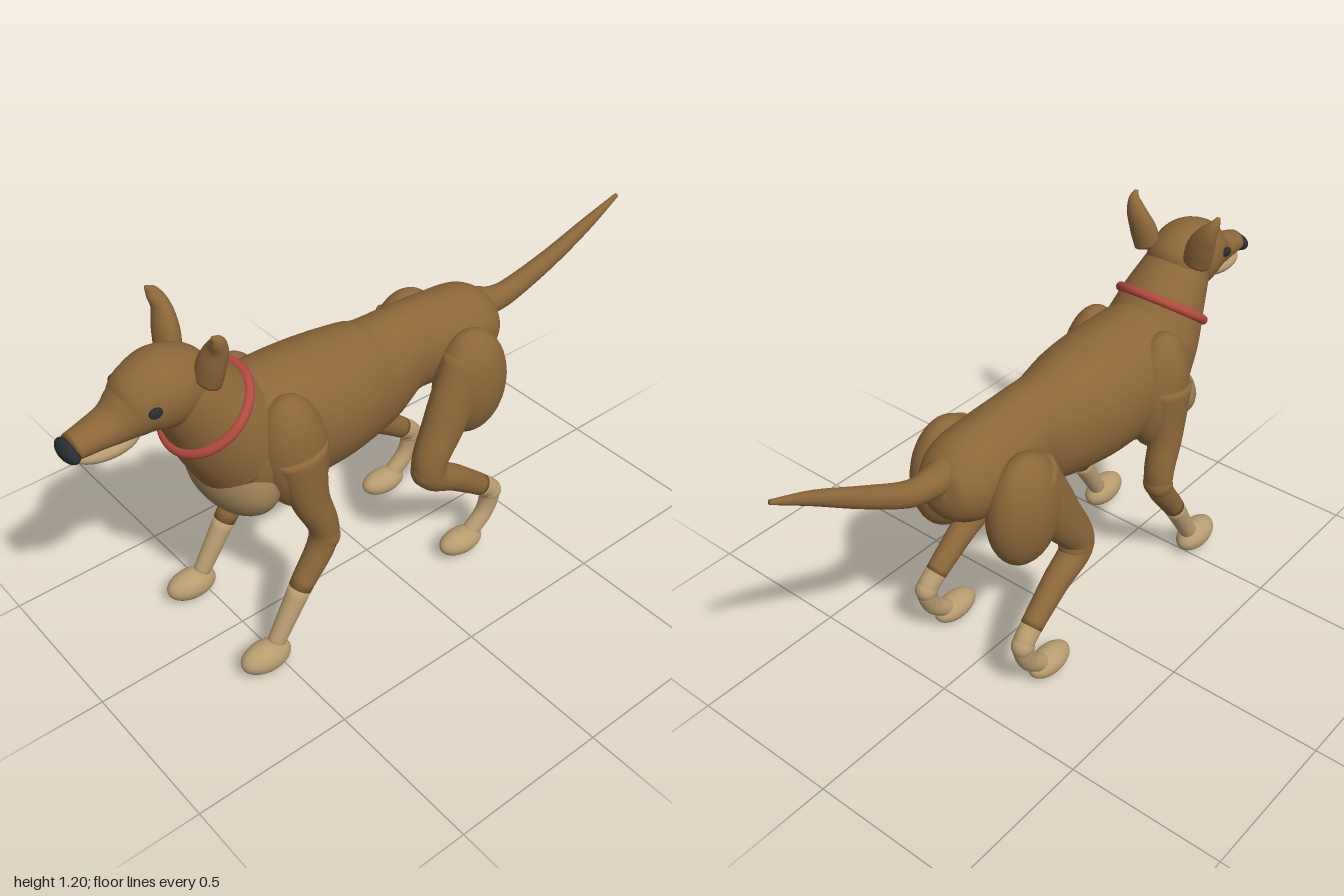
import * as THREE from 'three';

const mat = (name, color) => Object.assign(new THREE.MeshStandardMaterial({ color }), { name });
const brown = mat('brown coat', 0x8b6639);
const cream = mat('cream fur', 0xb89c70);
const chestFur = mat('pale chest fur', 0x967b52);
const red = mat('collar red', 0xb04a3e);
const black = mat('nose black', 0x2b2c2f);

// Smooth skin over elliptical rings: each row is [x, y, z, radius across, radius up].
// Only the spans from row "from" to row "to" are built.
function loft(rows, from = 0, to = rows.length - 1, sides = 28, steps = 7) {
  const path = new THREE.CatmullRomCurve3(rows.map(r => new THREE.Vector3(r[0], r[1], r[2])));
  const size = new THREE.CatmullRomCurve3(rows.map(r => new THREE.Vector3(r[3], r[4] ?? r[3], 0)));
  path.curveType = size.curveType = 'catmullrom';
  const spans = rows.length - 1, count = (to - from) * steps;
  const pos = [], index = [];
  for (let i = 0; i <= count; i++) {
    const t = (from + i / steps) / spans;
    const c = path.getPoint(t), s = size.getPoint(t), T = path.getTangent(t);
    const u = new THREE.Vector3(1, 0, 0).addScaledVector(T, -T.x).normalize();
    const v = T.clone().cross(u);
    for (let j = 0; j < sides; j++) {
      const a = j / sides * Math.PI * 2;
      const p = c.clone().addScaledVector(u, Math.cos(a) * s.x).addScaledVector(v, Math.sin(a) * s.y);
      pos.push(p.x, p.y, p.z);
    }
  }
  for (let i = 0; i < count; i++) for (let j = 0; j < sides; j++) {
    const k = (j + 1) % sides;
    const a = i * sides + j, b = i * sides + k, c = a + sides, d = b + sides;
    index.push(a, b, c, b, d, c);
  }
  // end caps
  const first = path.getPoint(from / spans), last = path.getPoint(to / spans);
  pos.push(...first.toArray(), ...last.toArray());
  const p0 = (count + 1) * sides, top = count * sides;
  for (let j = 0; j < sides; j++) {
    const k = (j + 1) % sides;
    index.push(p0, k, j, p0 + 1, top + j, top + k);
  }
  const g = new THREE.BufferGeometry();
  g.setAttribute('position', new THREE.Float32BufferAttribute(pos, 3));
  g.setIndex(index);
  g.computeVertexNormals();
  return g;
}

function add(parent, name, geometry, material) {
  const m = new THREE.Mesh(geometry, material);
  m.name = name;
  parent.add(m);
  return m;
}

function ball(parent, name, material, center, radii, tilt = 0) {
  const m = add(parent, name, new THREE.SphereGeometry(1, 32, 22), material);
  m.position.set(...center);
  m.scale.set(...radii);
  m.rotation.x = tilt;
  return m;
}

export function createModel() {
  const dog = new THREE.Group();
  dog.name = 'dog';

  // Trunk, from rump to breast
  add(dog, 'torso', loft([
    [0, 0.73, -0.488, 0.03, 0.03],
    [0, 0.73, -0.46, 0.09, 0.09],
    [0, 0.735, -0.38, 0.125, 0.135],
    [0, 0.745, -0.25, 0.125, 0.142],
    [0, 0.75, -0.12, 0.12, 0.148],
    [0, 0.72, 0.01, 0.145, 0.187],
    [0, 0.715, 0.15, 0.175, 0.202],
    [0, 0.715, 0.3, 0.18, 0.212],
    [0, 0.7, 0.42, 0.18, 0.225],
    [0, 0.7, 0.52, 0.15, 0.17],
    [0, 0.71, 0.58, 0.08, 0.09],
    [0, 0.71, 0.598, 0.02, 0.02],
  ], 0, 11, 40), brown);
  ball(dog, 'chestPatch', chestFur, [0, 0.617, 0.495], [0.185, 0.112, 0.108]);

  // Neck and collar
  add(dog, 'neck', loft([
    [0, 0.72, 0.46, 0.165, 0.17],
    [0, 0.80, 0.515, 0.155, 0.158],
    [0, 0.875, 0.565, 0.137, 0.138],
    [0, 0.94, 0.615, 0.118, 0.115],
    [0, 1.0, 0.66, 0.1, 0.09],
  ], 0, 4, 36), brown);
  const collar = add(dog, 'collar', new THREE.TorusGeometry(0.14, 0.015, 14, 56), red);
  collar.position.set(0, 0.875, 0.565);
  collar.rotation.x = -0.935;

  // Head, jaw and nose
  add(dog, 'head', loft([
    [0, 0.99, 0.56, 0.03, 0.025],
    [0, 0.995, 0.59, 0.085, 0.08],
    [0, 1.0, 0.68, 0.11, 0.112],
    [0, 0.99, 0.75, 0.099, 0.103],
    [0, 0.97, 0.8, 0.08, 0.076],
    [0, 0.955, 0.845, 0.063, 0.056],
    [0, 0.947, 0.9, 0.053, 0.044],
    [0, 0.938, 0.965, 0.043, 0.035],
  ], 0, 7, 36), brown);
  ball(dog, 'jaw', cream, [0, 0.902, 0.868], [0.056, 0.033, 0.1]);
  ball(dog, 'nose', black, [0, 0.932, 0.974], [0.053, 0.03, 0.024]);

  // Tail, swinging slightly to the left
  add(dog, 'tail', loft([
    [0, 0.79, -0.42, 0.06, 0.055],
    [0.01, 0.778, -0.5, 0.043, 0.043],
    [0.015, 0.79, -0.58, 0.036, 0.038],
    [0.035, 0.855, -0.72, 0.028, 0.031],
    [0.05, 0.93, -0.86, 0.02, 0.021],
    [0.055, 0.993, -0.99, 0.007, 0.007],
  ], 0, 5, 20), brown);

  for (const [side, s] of [['left', 1], ['right', -1]]) {
    const at = rows => rows.map(([x, ...rest]) => [x * s, ...rest]);

    // Eye and ear
    ball(dog, side + 'Eye', black, [s * 0.098, 1.006, 0.768], [0.012, 0.015, 0.02]);
    add(dog, side + 'Ear', loft(at([
      [0.092, 1.035, 0.605, 0.046, 0.036],
      [0.108, 1.09, 0.598, 0.046, 0.034],
      [0.13, 1.14, 0.592, 0.034, 0.026],
      [0.148, 1.175, 0.602, 0.018, 0.02],
      [0.152, 1.198, 0.618, 0.005, 0.005],
    ]), 0, 4, 20), brown);

    // Front leg
    const front = new THREE.Group();
    front.name = side + 'FrontLeg';
    dog.add(front);
    ball(front, 'shoulder', brown, [s * 0.13, 0.7, 0.375], [0.09, 0.195, 0.11], 0.12);
    const fore = at([
      [0.175, 0.73, 0.38, 0.055, 0.085],
      [0.18, 0.56, 0.36, 0.051, 0.06],
      [0.19, 0.4, 0.32, 0.046, 0.043],
      [0.193, 0.245, 0.415, 0.035, 0.035],
      [0.195, 0.07, 0.52, 0.025, 0.028],
    ]);
    add(front, 'foreleg', loft(fore, 0, 3), brown);
    add(front, 'sock', loft(fore, 3, 4), cream);
    ball(front, 'elbow', brown, [s * 0.19, 0.4, 0.317], [0.049, 0.047, 0.044]);
    ball(front, 'paw', cream, [s * 0.197, 0.053, 0.552], [0.05, 0.049, 0.085], -0.08);

    // Hind leg
    const hind = new THREE.Group();
    hind.name = side + 'HindLeg';
    dog.add(hind);
    ball(hind, 'thigh', brown, [s * 0.145, 0.642, -0.285], [0.092, 0.182, 0.13], 0.05);
    const rear = at([
      [0.155, 0.73, -0.27, 0.065, 0.1],
      [0.17, 0.56, -0.165, 0.06, 0.075],
      [0.185, 0.415, -0.09, 0.051, 0.052],
      [0.188, 0.33, -0.2, 0.041, 0.043],
      [0.192, 0.24, -0.315, 0.034, 0.036],
      [0.195, 0.195, -0.355, 0.033, 0.034],
      [0.195, 0.12, -0.335, 0.029, 0.03],
      [0.195, 0.06, -0.27, 0.028, 0.028],
    ]);
    add(hind, 'hindLimb', loft(rear, 0, 4), brown);
    add(hind, 'sock', loft(rear, 4, 7), cream);
    ball(hind, 'knee', brown, [s * 0.183, 0.415, -0.093], [0.052, 0.057, 0.058]);
    ball(hind, 'hock', cream, [s * 0.195, 0.197, -0.357], [0.035, 0.038, 0.037]);
    ball(hind, 'paw', cream, [s * 0.195, 0.049, -0.235], [0.047, 0.042, 0.083], -0.06);
  }
  return dog;
}
